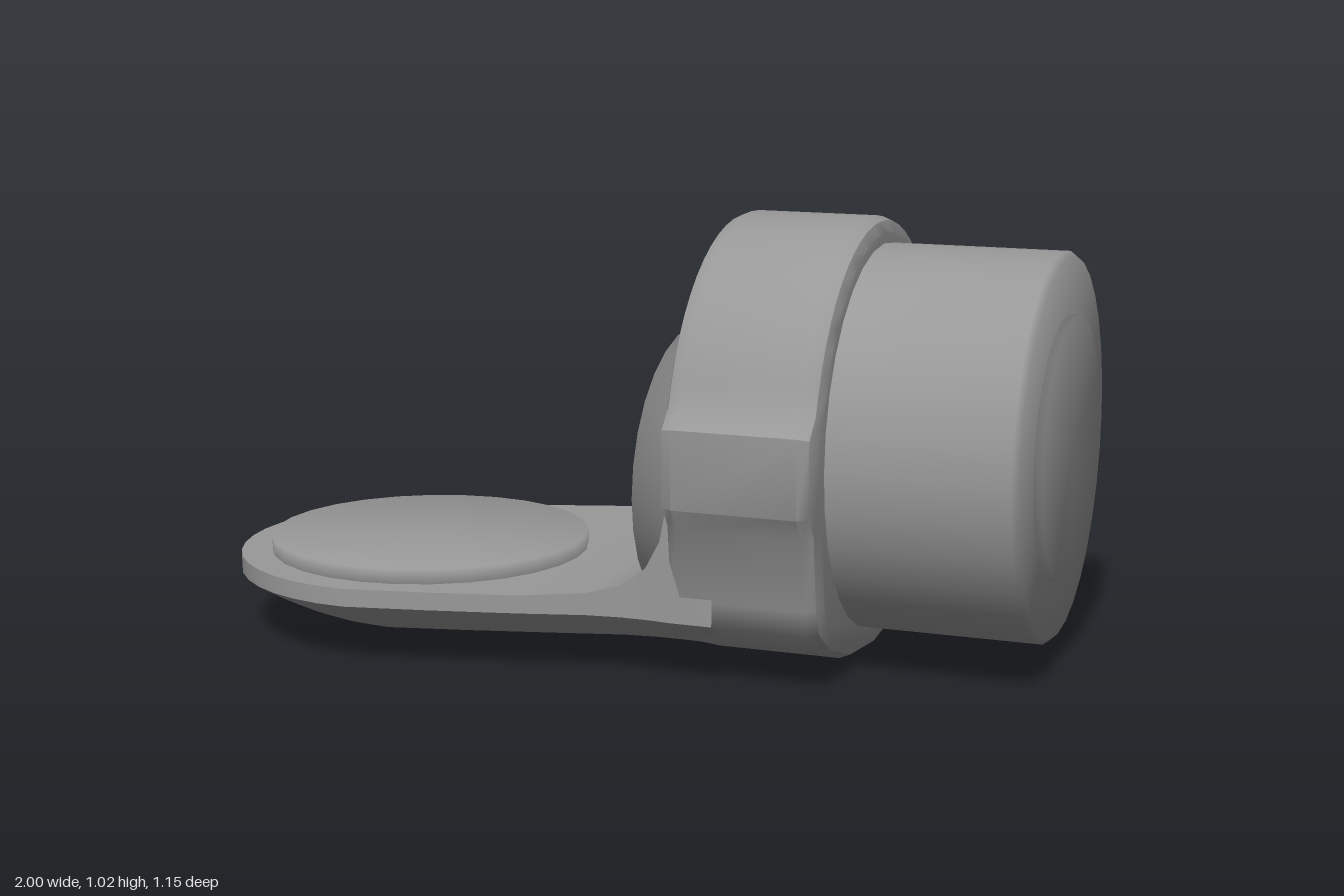
import * as THREE from 'three';
import { mergeVertices, toCreasedNormals } from 'three/addons/utils/BufferGeometryUtils.js';

const ZC = -0.035; // axis of the collar and drum in z
const grey = new THREE.MeshStandardMaterial({ color: 0x999999 });
grey.name = 'grey';

function add(group, name, geometry) {
  const mesh = new THREE.Mesh(geometry, grey);
  mesh.name = name;
  group.add(mesh);
  return mesh;
}

// Shares vertices across edges so the shading is soft all over
function soften(geometry) {
  geometry.deleteAttribute('normal');
  geometry.deleteAttribute('uv');
  const g = mergeVertices(geometry, 1e-4);
  g.computeVertexNormals();
  return g;
}

function disc(radius, height) {
  return soften(new THREE.CylinderGeometry(radius, radius, height, 28));
}

// Collar outline: round top, side lugs and a shallow curved base
function collarGeometry() {
  const half = [[0.2, 0.02], [0.36, 0.075], [0.45, 0.135], [0.477, 0.2], [0.5, 0.37],
    [0.54, 0.42], [0.54, 0.6], [0.495, 0.645]];
  for (let i = 1; i < 12; i++) {
    const a = 0.266 + (i / 12) * (Math.PI / 2 - 0.266);
    half.push([0.51 * Math.cos(a), 0.51 + 0.51 * Math.sin(a)]);
  }
  const points = [new THREE.Vector2(0, 0), ...half.map(([x, y]) => new THREE.Vector2(x, y)),
    new THREE.Vector2(0, 1.02), ...half.reverse().map(([x, y]) => new THREE.Vector2(-x, y))];
  const bevel = 0.035;
  const g = new THREE.ExtrudeGeometry(new THREE.Shape(points), {
    depth: 0.36 - 2 * bevel, bevelEnabled: true, bevelThickness: bevel,
    bevelSize: bevel, bevelOffset: -bevel, bevelSegments: 2,
  });
  g.translate(0, 0, 0.19 + bevel);
  g.rotateY(Math.PI / 2);
  g.translate(0, 0, ZC - 0.003);
  return toCreasedNormals(g, 0.7);
}

// Tongue: cross-sections along x with a flat top and a rounded underside
function tongueGeometry() {
  const stations = []; // x, centre z, half width, top y, lowest y
  for (let i = 0; i <= 10; i++) {
    const a = (i / 10) * Math.PI / 2;
    const c = Math.cos(a);
    stations.push([-0.55 - 0.45 * c, 0.12, Math.max(0.455 * Math.sin(a), 0.004), 0.187, 0.145 * c * c]);
  }
  stations.push([-0.35, 0.068, 0.466, 0.187, 0], [-0.15, 0.012, 0.474, 0.187, 0],
    [0, -0.028, 0.472, 0.197, 0], [0.08, -0.038, 0.472, 0.22, 0], [0.14, -0.04, 0.474, 0.265, 0],
    [0.175, -0.04, 0.477, 0.33, 0], [0.195, -0.04, 0.48, 0.43, 0], [0.3, -0.04, 0.48, 0.43, 0]);
  const n = 16, ring = 2 * (n + 1), position = [], index = [];
  for (const [x, zc, w, top, low] of stations) {
    for (let k = 0; k <= n; k++) {
      const u = -1 + 2 * k / n;
      position.push(x, low + (0.145 - low) * u * u, zc + u * w);
    }
    for (let k = 0; k <= n; k++) {
      const u = 1 - 2 * k / n;
      position.push(x, top, zc + u * w);
    }
  }
  for (let s = 0; s < stations.length - 1; s++) {
    for (let k = 0; k < ring; k++) {
      const a = s * ring + k, b = s * ring + (k + 1) % ring;
      index.push(a, a + ring, b, b, a + ring, b + ring);
    }
  }
  // Close the narrow tip
  for (let k = 1; k < ring - 1; k++) index.push(0, k, k + 1);
  const g = new THREE.BufferGeometry();
  g.setAttribute('position', new THREE.Float32BufferAttribute(position, 3));
  g.setIndex(index);
  // Make sure the faces point outward
  let volume = 0;
  const p = [0, 1, 2].map(() => new THREE.Vector3());
  for (let i = 0; i < index.length; i += 3) {
    p.forEach((v, j) => v.fromArray(position, index[i + j] * 3));
    volume += p[0].dot(p[1].clone().cross(p[2]));
  }
  if (volume < 0) g.setIndex(index.slice().reverse());
  return toCreasedNormals(g, 0.8);
}

export function createModel() {
  const group = new THREE.Group();
  group.name = 'sensorHousing';

  add(group, 'collar', collarGeometry());
  add(group, 'tongue', tongueGeometry());

  // Drum with a small bevel on its outer rim
  const profile = [[0, 0.5], [0.45, 0.5], [0.45, 0.965], [0.438, 0.98], [0, 0.98]]
    .map(([r, h]) => new THREE.Vector2(r, h));
  const drum = add(group, 'drum', toCreasedNormals(new THREE.LatheGeometry(profile, 32), 0.9));
  drum.rotation.z = -Math.PI / 2;
  drum.position.set(0, 0.51, ZC);

  // Round pads on the drum end, the collar face and the tongue
  const endPad = add(group, 'drumEndPad', disc(0.306, 0.06));
  endPad.rotation.z = -Math.PI / 2;
  endPad.position.set(0.97, 0.51, ZC);

  const facePad = add(group, 'collarFacePad', disc(0.385, 0.145));
  facePad.scale.y = 1;
  facePad.rotation.z = Math.PI / 2;
  facePad.position.set(0.1475, 0.4, ZC);
  facePad.scale.x = 0.88;

  const tonguePad = add(group, 'tonguePad', disc(0.385, 0.08));
  tonguePad.position.set(-0.542, 0.182, 0.118);

  return group;
}
